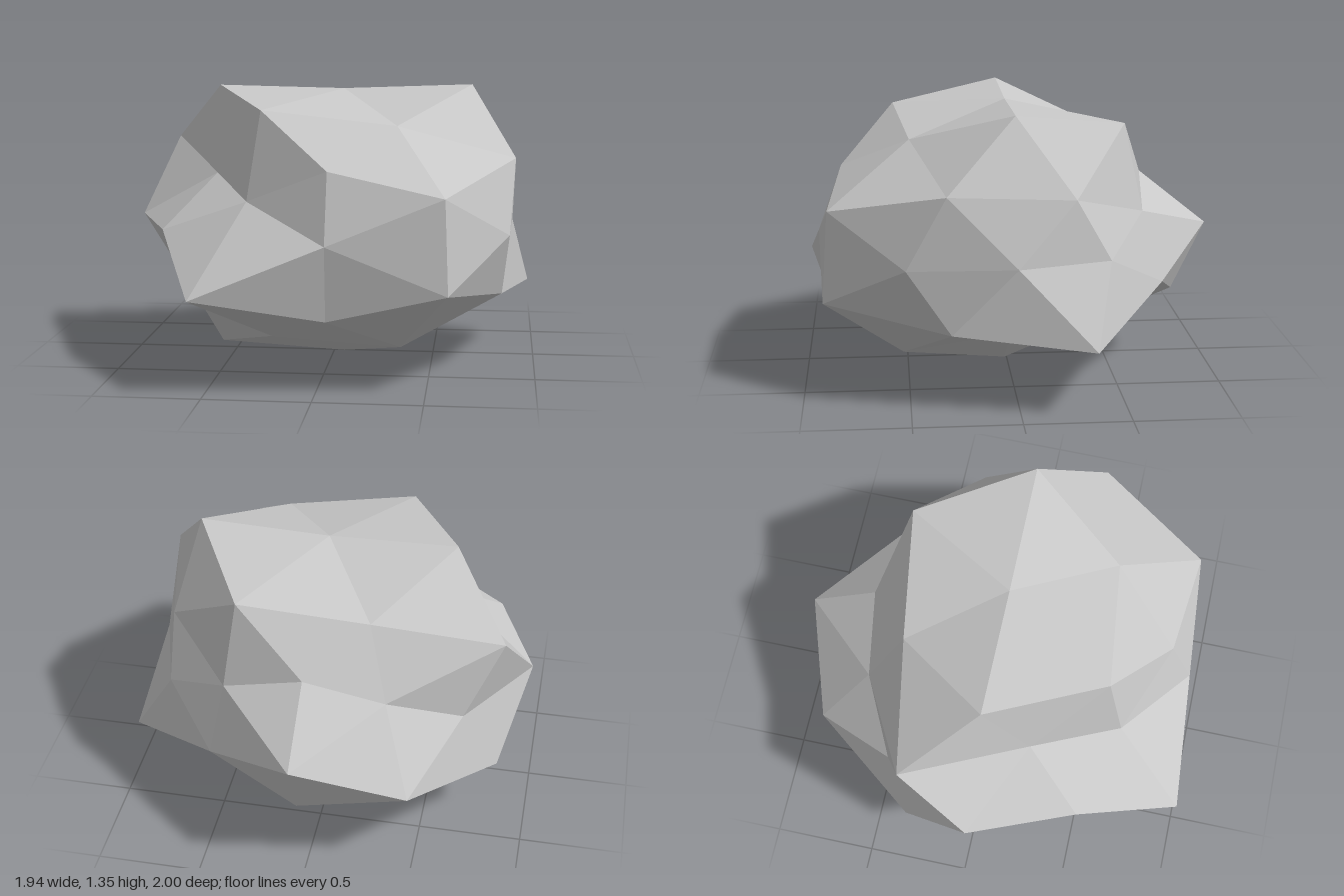
import * as THREE from 'three';

// Radius of each icosphere corner, grouped by its rounded |x| |y| direction.
// Inside a group the order is by sign of the non-zero axes: +++, ++-, +-+ ...
const RADII = {
  '0.5 0.9': [1.2, 0.78, 1.18, 1.18],
  '0.0 0.5': [0.945, 0.79, 1.025, 0.995],
  '0.9 0.0': [0.965, 0.83, 0.96, 0.857],
  '1.0 0.0': [0.837, 1.02],
  '0.0 1.0': [0.985, 1.06],
  '0.0 0.0': [0.92, 1.01],
  '0.3 0.8': [0.95, 1.085, 1.03, 0.81, 1.09, 0.9, 0.97, 0.87],
  '0.8 0.5': [1.045, 0.885, 0.975, 1.142, 0.74, 1.11, 0.917, 1.11],
  '0.5 0.3': [1.065, 0.775, 1.1, 0.89, 0.785, 0.765, 1.22, 1.055],
};

function radiusAt(v) {
  const key = Math.abs(v.x).toFixed(1) + ' ' + Math.abs(v.y).toFixed(1);
  let index = 0;
  for (const c of [v.x, v.y, v.z]) {
    if (Math.abs(c) > 0.01) index = index * 2 + (c < 0 ? 1 : 0);
  }
  return RADII[key][index];
}

export function createModel() {
  const group = new THREE.Group();
  group.name = 'rock';

  const stone = new THREE.MeshStandardMaterial({ color: 0xc8c8c8, flatShading: true });
  stone.name = 'stone grey';

  // Faceted boulder: icosphere with uneven radii, flattened in height
  const geometry = new THREE.IcosahedronGeometry(1, 1);
  const position = geometry.attributes.position;
  const v = new THREE.Vector3();
  for (let i = 0; i < position.count; i++) {
    v.fromBufferAttribute(position, i);
    v.multiplyScalar(radiusAt(v));
    position.setXYZ(i, v.x + 0.05, v.y * 0.65 + 0.69, v.z + 0.01);
  }
  geometry.computeVertexNormals();

  const boulder = new THREE.Mesh(geometry, stone);
  boulder.name = 'boulder';
  group.add(boulder);
  return group;
}
